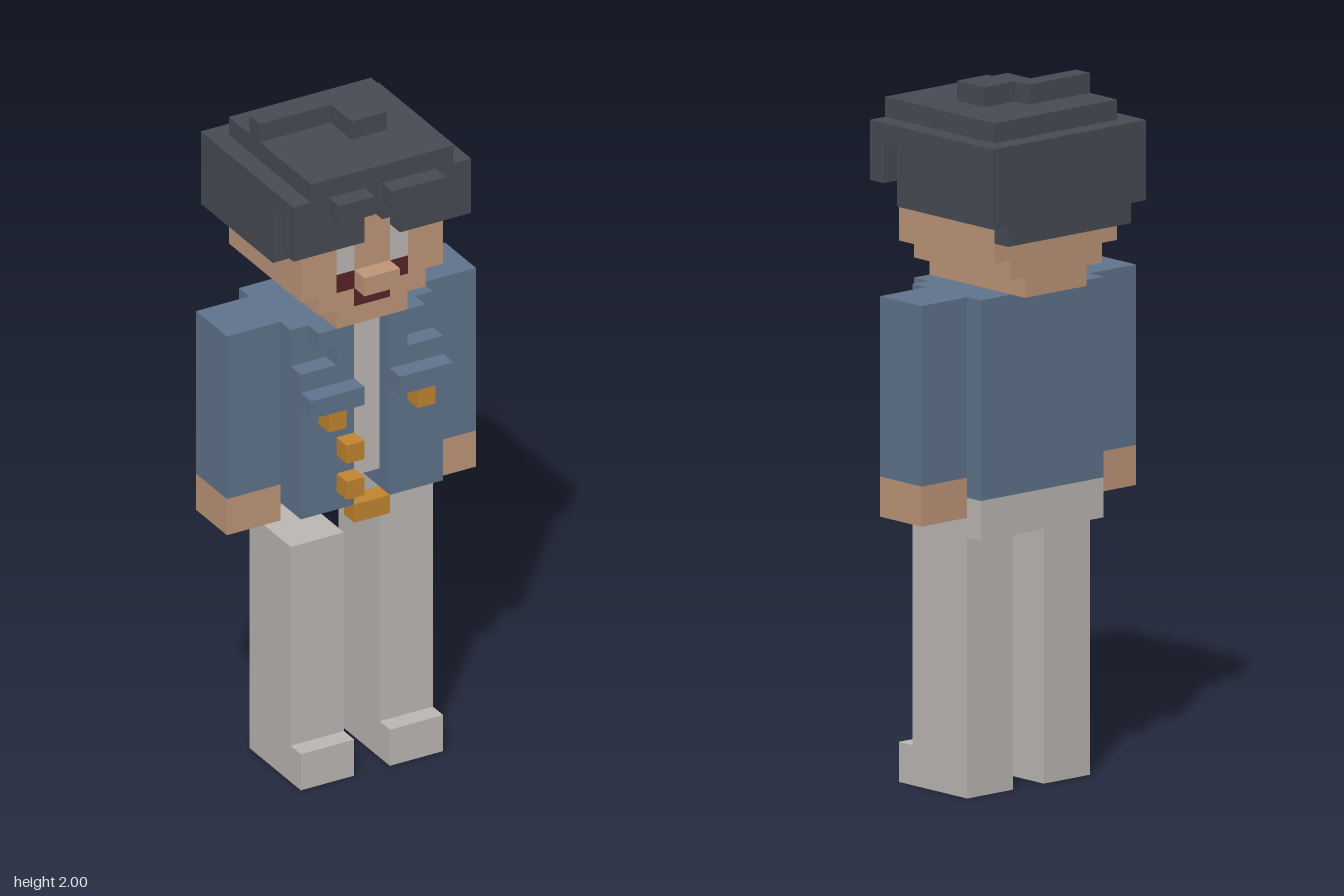
import * as THREE from 'three';

const U = 2 / 35; // one block

const mat = (name, color) => {
  const m = new THREE.MeshStandardMaterial({ color });
  m.name = name;
  return m;
};

export function createModel() {
  const hair = mat('charcoal hair', 0x474b54);
  const skin = mat('skin', 0xc0977a);
  const blue = mat('jacket blue', 0x60758d);
  const cloth = mat('pale grey cloth', 0xbdb9b6);
  const gold = mat('gold', 0xc2862f);
  const red = mat('dark red', 0x5a2328);

  const model = new THREE.Group();
  model.name = 'blockFigure';

  const part = (name) => {
    const g = new THREE.Group();
    g.name = name;
    model.add(g);
    return g;
  };
  // Box between two corners, measured in blocks
  const box = (parent, name, material, x0, x1, y0, y1, z0, z1) => {
    const geo = new THREE.BoxGeometry((x1 - x0) * U, (y1 - y0) * U, (z1 - z0) * U);
    const mesh = new THREE.Mesh(geo, material);
    mesh.name = name;
    mesh.position.set((x0 + x1) / 2 * U, (y0 + y1) / 2 * U, (z0 + z1) / 2 * U);
    parent.add(mesh);
  };
  // The same box on both sides of the body
  const pair = (parent, name, material, x0, x1, ...rest) => {
    box(parent, name + 'Left', material, x0, x1, ...rest);
    box(parent, name + 'Right', material, -x1, -x0, ...rest);
  };

  // Legs, feet and the panel behind the hips
  const legs = part('legs');
  box(legs, 'legLeft', cloth, 1, 4, 0, 15, -2, 2);
  box(legs, 'legRight', cloth, -4, -1, 0, 13, -2, 2);
  pair(legs, 'foot', cloth, 1, 4, 0, 2, 2, 3);
  box(legs, 'hipPanel', cloth, -4, 4, 13, 15, -3, -2);

  // Jacket with stepped lapels, open over the shirt
  const torso = part('torso');
  box(torso, 'jacketBack', blue, -4, 4, 15, 25, -3, -2);
  pair(torso, 'jacketSide', blue, 1, 4, 15, 25, -2, 2);
  box(torso, 'shirt', cloth, -1, 1, 16, 25, -2, 2);
  pair(torso, 'jacketFront', blue, 1, 4, 15, 23, 2, 3);
  pair(torso, 'lapel', blue, 1, 2, 23, 24, 2, 3);
  pair(torso, 'collar', blue, 1, 3, 24, 25, 2, 3);
  pair(torso, 'pocketFlap', blue, 1, 4, 21, 22, 3, 4);

  // Buttons and buckle
  pair(torso, 'pocketButton', gold, 2, 3, 20, 21, 3, 4);
  for (const y of [16, 18]) box(torso, 'button', gold, -2, -1, y, y + 1, 3, 4);
  box(torso, 'buckle', gold, -1, 1, 14, 15, 2, 3);

  // Arms
  const arms = part('arms');
  pair(arms, 'sleeve', blue, 4, 7, 16, 25, -2, 1);
  pair(arms, 'hand', skin, 4, 7, 14, 16, -2, 1);

  // Head, narrowing in steps to the chin
  const head = part('head');
  box(head, 'chin', skin, -2, 2, 25, 26, -4, 3);
  box(head, 'jaw', skin, -3, 3, 26, 27, -4, 3);
  box(head, 'skull', skin, -4, 4, 27, 33, -4, 3);
  box(head, 'nose', skin, -1, 1, 27, 28, 3, 4);

  // Painted face
  const f0 = 2.98, f1 = 3.03;
  pair(head, 'eye', cloth, 1, 2, 28, 30, f0, f1);
  pair(head, 'mouthCorner', red, 1, 2, 27, 28, f0, f1);
  box(head, 'mouth', red, -1, 1, 26, 27, f0, f1);

  // Hair: sides, back, fringe with a parting, and crown
  const hairdo = part('hair');
  pair(hairdo, 'hairSide', hair, 4, 5, 29, 33, -4, 2);
  pair(hairdo, 'hairTemple', hair, 4, 5, 32, 33, 2, 3);
  box(hairdo, 'hairBack', hair, -5, 5, 29, 33, -5, -4);
  box(hairdo, 'nape', hair, -4, 4, 28, 29, -5, -4);
  box(hairdo, 'fringeRight', hair, -5, -1, 30, 33, 3, 4);
  box(hairdo, 'fringeLeft', hair, 1, 5, 30, 33, 3, 4);
  box(hairdo, 'partingRight', hair, -1, 0, 32, 33, 3, 4);
  box(hairdo, 'partingLeft', hair, 0, 1, 31, 33, 3, 4);
  box(hairdo, 'crown', hair, -4, 4, 33, 34, -4, 4);
  box(hairdo, 'tuftBack', hair, -4, 0, 34, 35, -2, -1);
  box(hairdo, 'tuftTop', hair, 0, 2, 34, 35, -1, 1);
  box(hairdo, 'lockRight', hair, -3, -1, 32, 33, 4, 5);
  box(hairdo, 'lockLeft', hair, 0, 3, 32, 33, 4, 5);

  return model;
}
